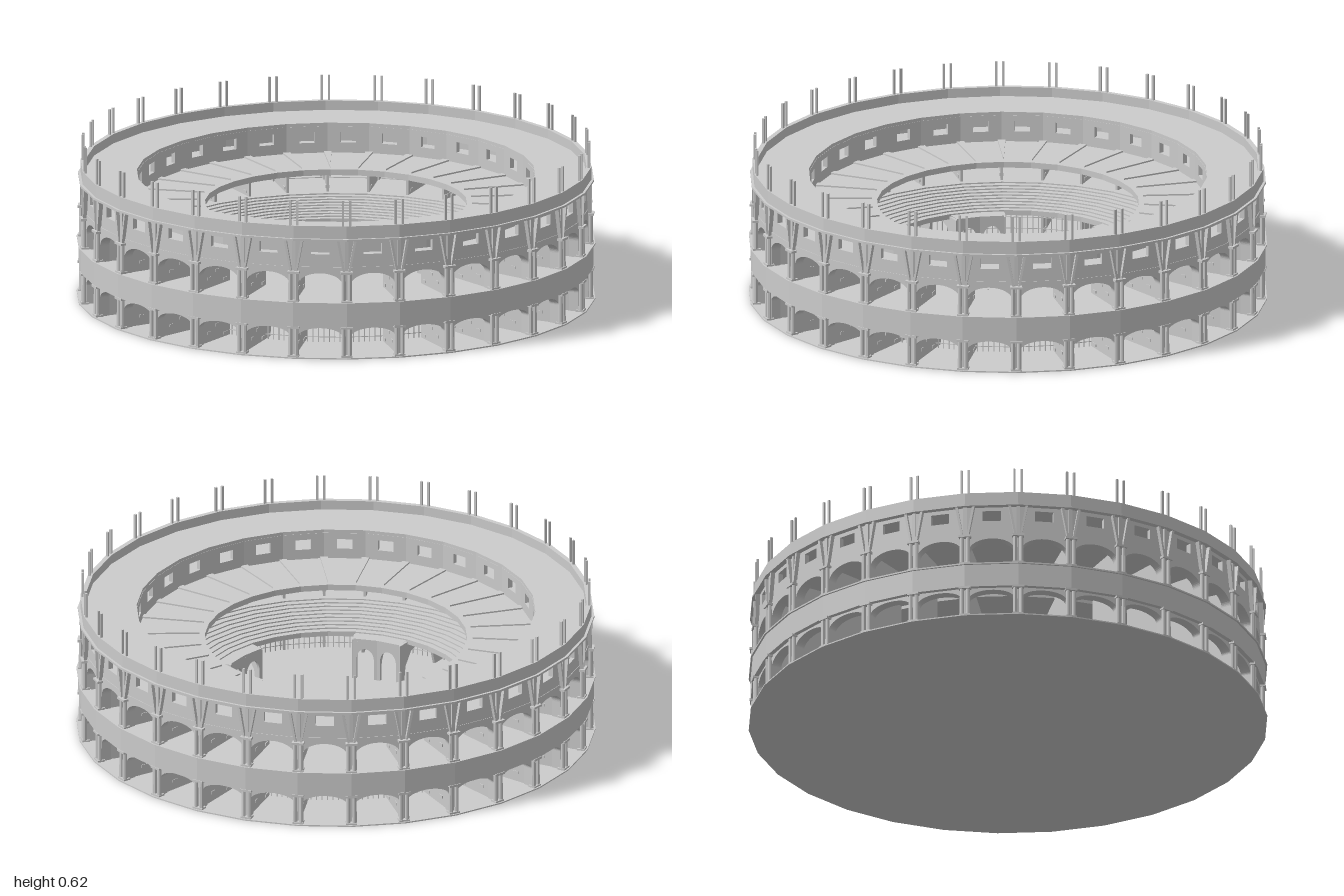
import * as THREE from 'three';
import { mergeGeometries } from 'three/addons/utils/BufferGeometryUtils.js';

const BAYS = 30;
const STEP = (Math.PI * 2) / BAYS;
const HALF = STEP / 2;
const mat = new THREE.MeshStandardMaterial({ color: 0xcccccc, flatShading: true, side: THREE.DoubleSide });

const merge = (list) => mergeGeometries(list.map((g) => (g.index ? g.toNonIndexed() : g)));

function box(w, h, d, x, y, z) {
  return new THREE.BoxGeometry(w, h, d).translate(x, y, z);
}

function poly(points, depth) {
  const shape = new THREE.Shape(points.map(([x, y]) => new THREE.Vector2(x, y)));
  return new THREE.ExtrudeGeometry(shape, { depth, bevelEnabled: false });
}

// thirty-sided ring, or a sector of it, with a closed (radius, height) profile
function ring(profile, start = HALF, bays = BAYS) {
  const pts = [...profile, profile[0]].map(([r, y]) => new THREE.Vector2(r, y));
  return new THREE.LatheGeometry(pts, bays, start, bays * STEP);
}

const rect = (r0, r1, y0, y1) => [[r0, y0], [r1, y0], [r1, y1], [r0, y1]];

// straight wall panel for one bay, arched at its foot
function archPanel(r, y0, y1, spring, crown, depth) {
  const w = r * Math.sin(HALF), a = w - 0.014;
  const s = new THREE.Shape();
  s.moveTo(-w, y0);
  s.lineTo(-a, y0);
  s.lineTo(-a, spring);
  s.absellipse(0, spring, a, crown - spring, Math.PI, 0, true);
  s.lineTo(a, y0);
  s.lineTo(w, y0);
  s.lineTo(w, y1);
  s.lineTo(-w, y1);
  return new THREE.ExtrudeGeometry(s, { depth, bevelEnabled: false, curveSegments: 14 })
    .translate(0, 0, r * Math.cos(HALF) - depth);
}

// straight wall panel for one bay with a rectangular window
function windowPanel(r, y0, y1, halfW, wy0, wy1, depth) {
  const w = r * Math.sin(HALF);
  const s = new THREE.Shape([[-w, y0], [w, y0], [w, y1], [-w, y1]].map((p) => new THREE.Vector2(...p)));
  s.holes.push(new THREE.Path([[-halfW, wy0], [-halfW, wy1], [halfW, wy1], [halfW, wy0]].map((p) => new THREE.Vector2(...p))));
  return new THREE.ExtrudeGeometry(s, { depth, bevelEnabled: false })
    .translate(0, 0, r * Math.cos(HALF) - depth);
}

export function createModel() {
  const model = new THREE.Group();
  model.name = 'arena';

  const add = (name, geometry) => {
    const mesh = new THREE.Mesh(geometry, mat);
    mesh.name = name;
    model.add(mesh);
  };
  // repeats a part built along +z around the arena
  const around = (name, parts, offset = 0, count = BAYS) => {
    const one = merge(parts);
    const all = [];
    for (let i = 0; i < count; i++) {
      all.push(one.clone().rotateY(offset + (i * Math.PI * 2) / count));
    }
    add(name, merge(all));
  };

  // floors, bands and roofs
  add('base', new THREE.CylinderGeometry(1, 1, 0.005, BAYS, 1, false, HALF).translate(0, 0.0025, 0));
  add('lowerBand', ring(rect(0.972, 0.993, 0.125, 0.222)));
  add('bandLedge', ring(rect(0.96, 1, 0.217, 0.223)));
  add('upperFloor', ring(rect(0.74, 0.98, 0.208, 0.22)));
  add('galleryFloor', ring(rect(0.505, 0.97, 0.347, 0.37)));
  add('roof', ring(rect(0.768, 0.98, 0.47, 0.488)));
  add('cornice', ring(rect(0.95, 0.995, 0.467, 0.475)));
  add('parapet', ring(rect(0.966, 0.985, 0.475, 0.525)));

  // stepped seating under the gallery
  const rows = 10, seats = [[0.505, 0.155], [0.745, 0.195]];
  for (let i = rows; i > 0; i--) {
    const y = 0.17 + (i * 0.05) / rows;
    seats.push([0.505 + (i * 0.24) / rows, y], [0.505 + ((i - 1) * 0.24) / rows, y]);
  }
  add('seating', ring(seats));

  // arcades and windowed walls
  around('lowerArcade', [archPanel(0.975, 0.005, 0.21, 0.08, 0.117, 0.04)]);
  around('upperArcade', [archPanel(0.975, 0.22, 0.36, 0.285, 0.335, 0.04)]);
  around('outerWindowWall', [windowPanel(0.973, 0.345, 0.475, 0.036, 0.41, 0.452, 0.02)]);
  around('innerWindowWall', [windowPanel(0.785, 0.365, 0.475, 0.03, 0.41, 0.452, 0.018)]);

  // walls between the bays, with raised bricks
  const wall = (y0, y1) => {
    const parts = [box(0.01, y1 - y0, 0.225, 0, (y0 + y1) / 2, 0.8575)];
    for (let i = 0; i < 9; i++) {
      const row = i % 4;
      parts.push(box(0.015, 0.011, 0.022, 0, y0 + 0.015 + row * 0.022, 0.775 + ((i * 0.083 + row * 0.03) % 0.165)));
    }
    return parts;
  };
  around('lowerBayWalls', wall(0.004, 0.21), HALF);
  around('upperBayWalls', wall(0.22, 0.35), HALF);

  // paired columns with foot and capital
  const columns = (y0, y1) => {
    const parts = [
      box(0.042, 0.008, 0.03, 0, y0 + 0.004, 0.978),
      box(0.046, 0.009, 0.034, 0, y1 - 0.0045, 0.978),
    ];
    for (const x of [-0.012, 0.012]) {
      parts.push(new THREE.CylinderGeometry(0.008, 0.009, y1 - y0, 8).translate(x, (y0 + y1) / 2, 0.982));
    }
    return parts;
  };
  around('lowerColumns', columns(0.004, 0.127), HALF);
  around('upperColumns', columns(0.222, 0.345), HALF);

  // spreading struts below the cornice
  const strut = (s) => {
    const pts = [[s * 0.006, 0.34], [s * 0.014, 0.34], [s * 0.038, 0.468], [s * 0.028, 0.468]];
    return poly(s > 0 ? pts : pts.reverse(), 0.018).translate(0, 0, 0.968);
  };
  around('struts', [strut(1), strut(-1), box(0.014, 0.128, 0.016, 0, 0.404, 0.972)], HALF);

  // paired masts above the parapet
  around('masts', [-0.014, 0.014].map((x) => box(0.009, 0.155, 0.009, x, 0.5475, 0.976)), HALF);

  // tapered ridges on the gallery floor
  around('galleryRidges', [
    poly([[0, 0.525], [0.015, 0.768], [-0.015, 0.768]], 0.007).rotateX(Math.PI / 2).translate(0, 0.376, 0),
  ], HALF);

  // spiked fence behind the ground arches
  const fence = [];
  for (let i = -3; i <= 3; i++) {
    const h = 0.085 - Math.abs(i) * 0.003;
    fence.push(box(0.0035, h, 0.0035, i * 0.021, h / 2, 0.745));
    fence.push(new THREE.ConeGeometry(0.004, 0.012, 4).translate(i * 0.021, h + 0.006, 0.745));
  }
  for (const y of [0.025, 0.07]) fence.push(box(0.15, 0.003, 0.003, 0, y, 0.745));
  around('fence', fence);

  // five double gates opening onto the arena floor
  const gateWall = poly(
    [[0.45, 0.005], [0.48, 0.005], [0.49, 0.07], [0.53, 0.12], [0.6, 0.135], [0.67, 0.11], [0.7, 0.005], [0.745, 0.005], [0.745, 0.19], [0.505, 0.165], [0.45, 0.165]],
    0.01,
  ).translate(0, 0, -0.005).rotateY(-Math.PI / 2);
  const gate = [-1, 0, 1].map((k) => gateWall.clone().rotateY(k * STEP));
  gate.push(ring(rect(0.45, 0.51, 0.155, 0.17), -STEP, 2));
  for (const k of [-1, 1]) {
    gate.push(archPanel(0.462, 0.005, 0.16, 0.085, 0.13, 0.012).rotateY(k * HALF));
  }
  around('gates', gate, Math.PI / 2, 5);

  return model;
}
